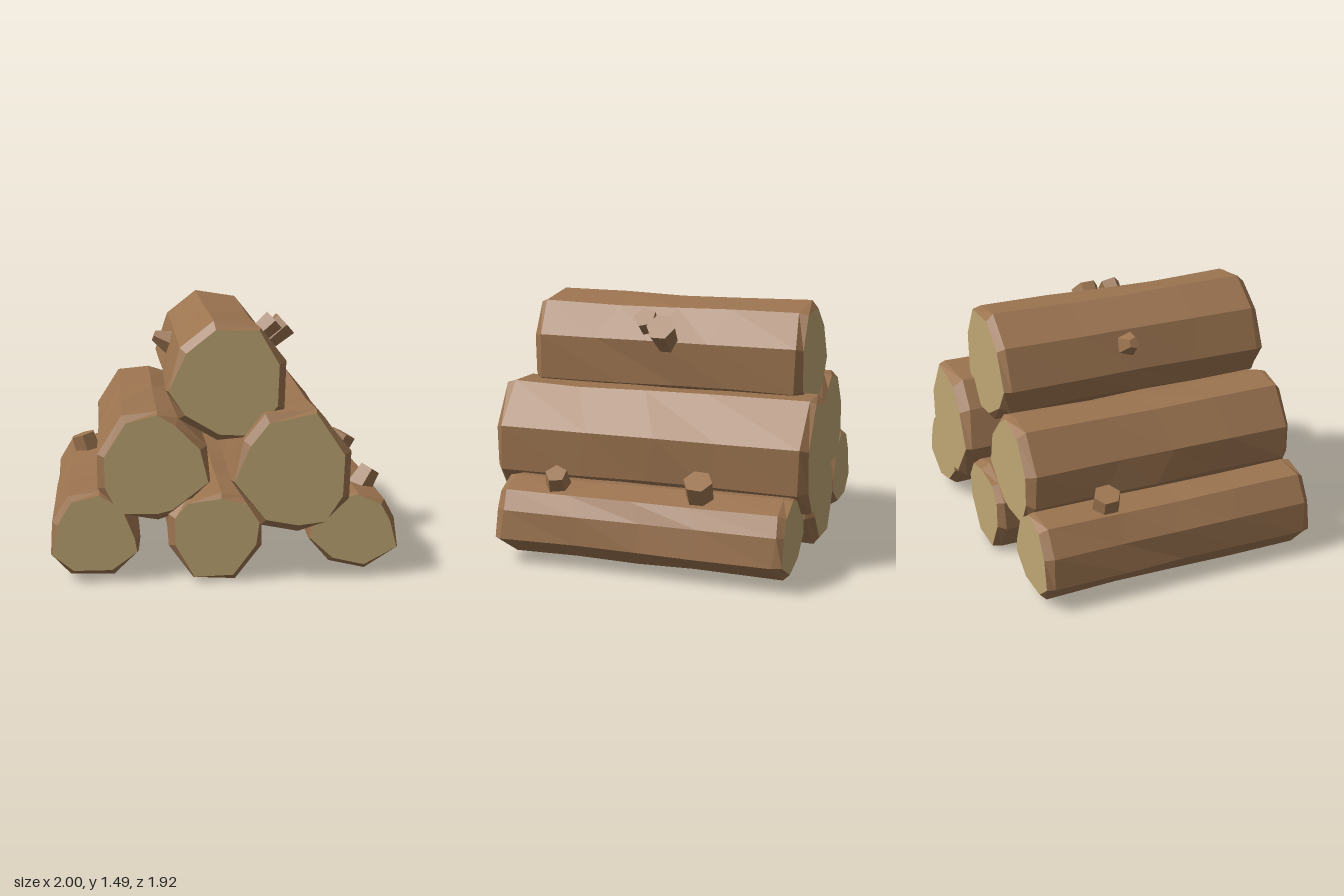
import * as THREE from 'three';

const bark = new THREE.MeshStandardMaterial({ color: 0x9c7450, flatShading: true });
const cutWood = new THREE.MeshStandardMaterial({ color: 0xbfa572, flatShading: true });

// Outline (clockwise from the upper left, as x/y pairs) and z extent of each log
const LOGS = [
  { name: 'topLog', z: [-0.83, 0.86],
    outline: [-.26, 1.34, -.07, 1.49, .19, 1.45, .34, 1.26, .33, .99, .14, .83, -.05, .81, -.27, .94, -.34, 1.1] },
  { name: 'middleRightLog', z: [-0.85, 0.85],
    outline: [-.59, .96, -.39, .98, -.27, .94, -.11, .78, -.09, .57, -.29, .38, -.39, .355, -.62, .39, -.73, .54, -.73, .74] },
  { name: 'middleLeftLog', z: [-0.96, 0.96],
    outline: [.21, .98, .5, 1, .7, .76, .69, .49, .56, .35, .4, .3, .19, .34, .02, .6, .09, .83] },
  { name: 'bottomRightLog', z: [-0.85, 0.85],
    outline: [-.99, .35, -.9, .5, -.72, .52, -.57, .45, -.49, .25, -.5, .17, -.64, .04, -.89, .04, -1, .16] },
  { name: 'bottomCentreLog', z: [-0.89, 0.89],
    outline: [-.23, .47, -.03, .515, .14, .48, .2, .38, .2, .2, .05, 0, -.19, .02, -.33, .21, -.33, .39] },
  { name: 'bottomLeftLog', z: [-0.9, 0.83],
    outline: [.57, .46, .76, .49, .92, .44, .98, .33, 1, .16, .81, .03, .6, .08, .48, .22, .48, .39] },
];

// Branch stubs: base centre, tip centre, base radius, tip radius, sides
const STUBS = [
  { name: 'topStubLarge', from: [.25, 1.2, 0], to: [.435, 1.365, -.005], r: [.06, .088], sides: 6 },
  { name: 'topStubSmall', from: [.21, 1.28, .13], to: [.35, 1.405, .125], r: [.06, .07], sides: 5 },
  { name: 'topStubRight', from: [-.22, 1.23, -.03], to: [-.375, 1.295, -.03], r: [.1, .035], sides: 5 },
  { name: 'bottomRightStub', from: [-.78, .44, -.4], to: [-.83, .6, -.41], r: [.09, .08], sides: 6 },
  { name: 'bottomLeftStubBack', from: [.79, .42, -.37], to: [.88, .585, -.38], r: [.08, .085], sides: 6 },
  { name: 'bottomLeftStubFront', from: [.79, .4, .5], to: [.89, .555, .48], r: [.085, .065], sides: 5 },
];

function soup(triangles) {
  const geometry = new THREE.BufferGeometry().setFromPoints(triangles);
  geometry.computeVertexNormals();
  return geometry;
}

function makeLog({ name, z: [back, front], outline }, seed) {
  const corners = [];
  for (let i = outline.length - 2; i >= 0; i -= 2) corners.push([outline[i], outline[i + 1]]);
  const n = corners.length;
  const cx = corners.reduce((s, p) => s + p[0], 0) / n;
  const cy = corners.reduce((s, p) => s + p[1], 0) / n;

  const ring = (z, scaleOf, zOf = () => 0) => corners.map(([x, y], i) => {
    const s = scaleOf(i);
    return new THREE.Vector3(cx + (x - cx) * s, cy + (y - cy) * s, z + zOf(i));
  });
  const inset = (i) => ((i + seed) % 3 === 0 ? 0.96 : 0.87);
  const jag = (i) => 0.012 * Math.sin(i * 2.3 + seed);

  // Back cut, rough shaft, front cut
  const rings = [ring(back, inset), ring(back + 0.045, () => 1, jag)];
  for (const t of [0.3, 0.5, 0.72]) {
    rings.push(ring(back + (front - back) * t,
      (i) => 0.98 + 0.02 * Math.sin(i * 1.9 + t * 9 + seed * 2),
      (i) => 0.08 * Math.sin(i * 2.7 + seed)));
  }
  rings.push(ring(front - 0.045, () => 1, jag), ring(front, inset));

  const sides = [];
  const ends = [];
  const first = rings[0];
  const last = rings[rings.length - 1];
  for (let i = 0; i < n; i++) {
    const j = (i + 1) % n;
    for (let k = 0; k < rings.length - 1; k++) {
      const a = rings[k], b = rings[k + 1];
      sides.push(a[i], a[j], b[j], a[i], b[j], b[i]);
    }
    ends.push(new THREE.Vector3(cx, cy, front), last[i], last[j]);
    ends.push(new THREE.Vector3(cx, cy, back), first[j], first[i]);
  }

  const log = new THREE.Group();
  log.name = name;
  const shaft = new THREE.Mesh(soup(sides), bark);
  shaft.name = 'bark';
  const cuts = new THREE.Mesh(soup(ends), cutWood);
  cuts.name = 'cutEnds';
  log.add(shaft, cuts);
  return log;
}

function makeStub({ name, from, to, r, sides }) {
  const a = new THREE.Vector3(...from);
  const b = new THREE.Vector3(...to);
  const axis = b.clone().sub(a);
  const stub = new THREE.Mesh(new THREE.CylinderGeometry(r[1], r[0], axis.length(), sides), bark);
  stub.name = name;
  stub.position.copy(a).add(b).multiplyScalar(0.5);
  stub.quaternion.setFromUnitVectors(new THREE.Vector3(0, 1, 0), axis.normalize());
  return stub;
}

export function createModel() {
  const pile = new THREE.Group();
  pile.name = 'logPile';
  LOGS.forEach((log, i) => pile.add(makeLog(log, i)));
  STUBS.forEach((stub) => pile.add(makeStub(stub)));
  return pile;
}
